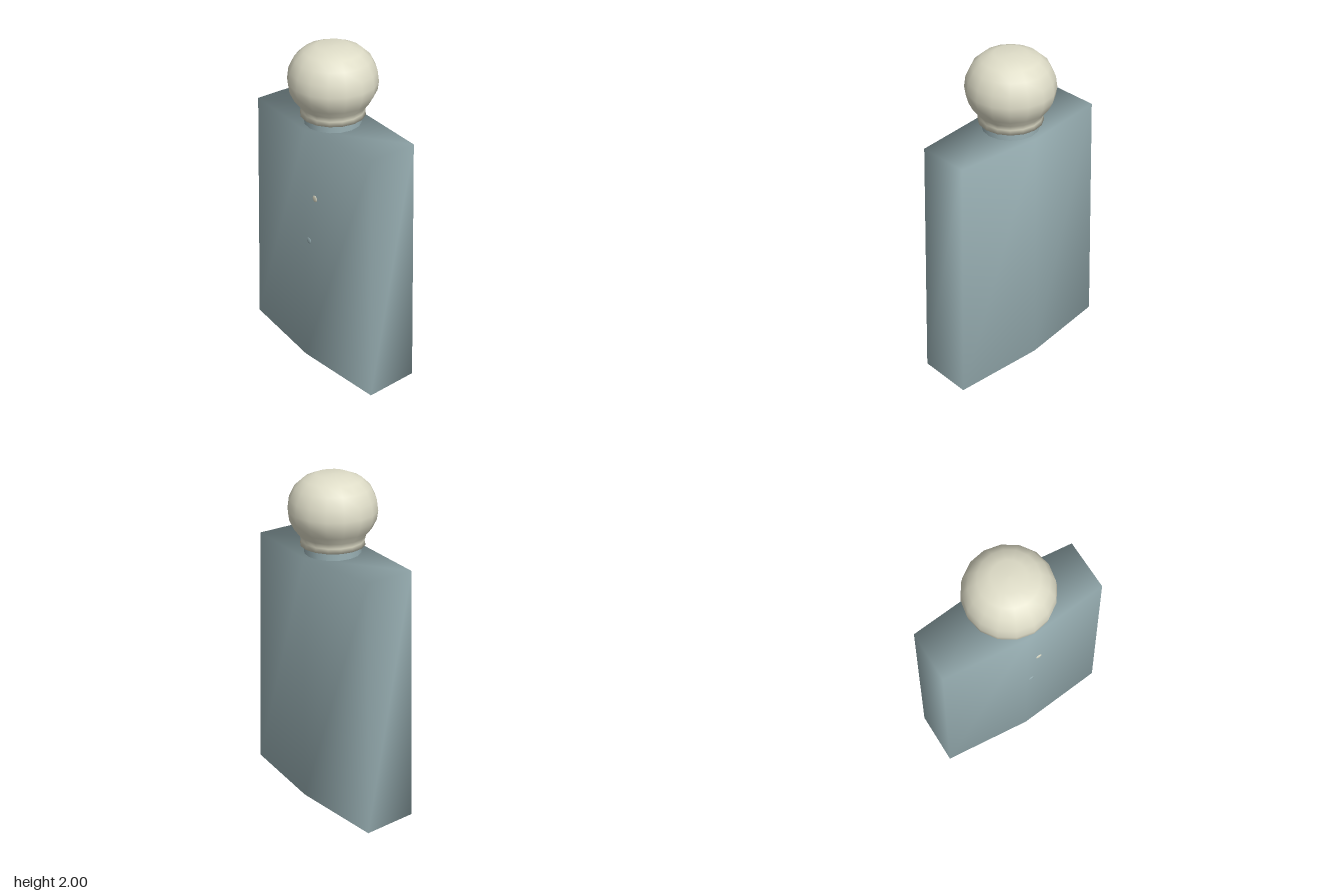
import * as THREE from 'three';

const glass = new THREE.MeshStandardMaterial({ color: 0x9ab1b5 });
glass.name = 'blueGreyGlass';
const cream = new THREE.MeshStandardMaterial({ color: 0xdfddc8 });
cream.name = 'cream';

function add(group, name, geometry, material) {
  const mesh = new THREE.Mesh(geometry, material);
  mesh.name = name;
  group.add(mesh);
  return mesh;
}

// Six-sided tapered body with shared corners, so the shading stays soft
function bodyGeometry() {
  const sections = [
    { y: 0, end: 0.165, mid: 0.216, z: 0.56 },
    { y: 1.545, end: 0.152, mid: 0.2, z: 0.508 },
  ];
  const pos = [];
  const index = [];
  for (const { y, end, mid, z } of sections) {
    const loop = [[end, z], [mid, 0], [end, -z], [-end, -z], [-mid, 0], [-end, z]];
    for (const [x, pz] of loop) pos.push(x, y, pz);
  }
  for (let i = 0; i < 6; i++) {
    const j = (i + 1) % 6;
    index.push(i, j, 6 + j, i, 6 + j, 6 + i);
  }
  // Caps, each split into two trapezoids along the middle
  for (const [a, b, c, d] of [[0, 1, 4, 5], [1, 2, 3, 4]]) {
    index.push(6 + a, 6 + b, 6 + c, 6 + a, 6 + c, 6 + d);
    index.push(a, c, b, a, d, c);
  }
  const geo = new THREE.BufferGeometry();
  geo.setAttribute('position', new THREE.Float32BufferAttribute(pos, 3));
  geo.setIndex(index);
  geo.computeVertexNormals();
  return geo;
}

export function createModel() {
  const model = new THREE.Group();
  model.name = 'bottle';

  add(model, 'body', bodyGeometry(), glass);

  // Short neck between body and stopper
  const neck = add(model, 'neck', new THREE.CylinderGeometry(0.165, 0.165, 0.08, 16), glass);
  neck.position.y = 1.575;

  // Round stopper with a small collar and a flattened top
  const profile = [
    [0, 1.592], [0.187, 1.592], [0.182, 1.62], [0.19, 1.65], [0.222, 1.69], [0.249, 1.745],
    [0.256, 1.795], [0.247, 1.86], [0.215, 1.925], [0.165, 1.97], [0.095, 1.998], [0, 2],
  ].map(([r, y]) => new THREE.Vector2(r, y));
  add(model, 'stopper', new THREE.LatheGeometry(profile, 16), cream);

  // Two tiny studs on the right face
  for (const [name, y, z, material] of [['upperStud', 1.14, 0.08, cream], ['lowerStud', 0.84, 0.03, glass]]) {
    const stud = add(model, name, new THREE.SphereGeometry(0.02, 10, 8), material);
    stud.scale.x = 0.2;
    stud.position.set(-0.216 + 0.0104 * y + 0.09 * z, y, z);
  }
  return model;
}
